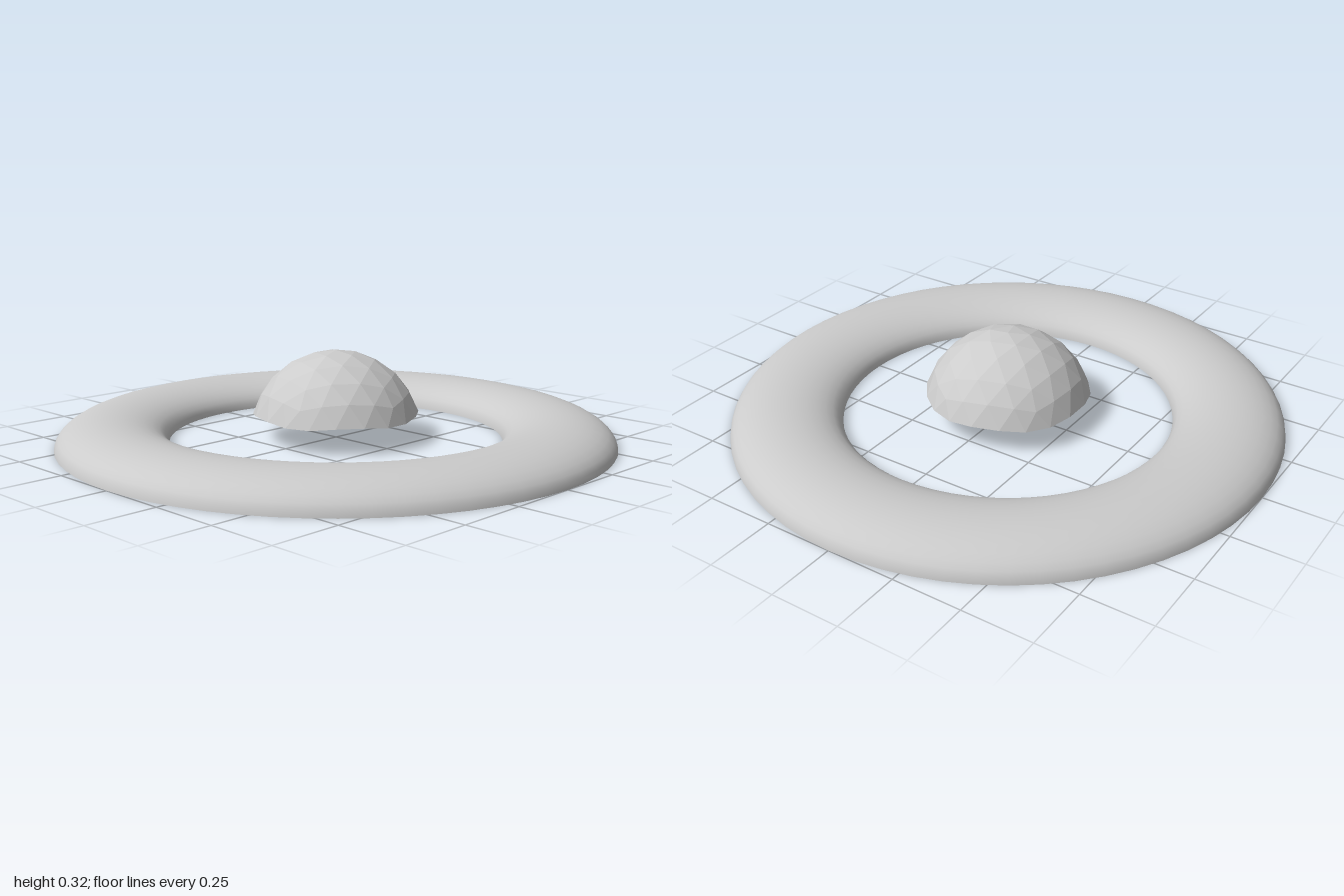
import * as THREE from 'three';

const material = (flatShading) =>
  new THREE.MeshStandardMaterial({ color: 0xcccccc, flatShading, side: THREE.DoubleSide });

// Hollow ring: upper half of an ellipse swept around the y axis, open below
function createRing() {
  const profile = [];
  const steps = 16;
  for (let i = 0; i <= steps; i++) {
    const a = (Math.PI * i) / steps;
    profile.push(new THREE.Vector2(0.8 + 0.2 * Math.cos(a), 0.1 * Math.sin(a)));
  }
  const ring = new THREE.Mesh(new THREE.LatheGeometry(profile, 64), material(false));
  ring.name = 'ring';
  return ring;
}

// Faceted dome: an icosphere with a vertex at its pole, keeping only the faces above the rim
function createDome() {
  const radius = 0.31;
  const sphere = new THREE.IcosahedronGeometry(radius, 3);
  sphere.rotateZ(Math.atan(2 / (1 + Math.sqrt(5))));
  sphere.rotateY(Math.PI / 2);

  const source = sphere.attributes.position;
  const kept = [];
  for (let i = 0; i < source.count; i += 3) {
    const corners = [0, 1, 2].map((k) => new THREE.Vector3().fromBufferAttribute(source, i + k));
    if (Math.min(...corners.map((c) => c.y)) > 0.04) {
      corners.forEach((c) => kept.push(c.x, c.y, c.z));
    }
  }
  const geometry = new THREE.BufferGeometry();
  geometry.setAttribute('position', new THREE.Float32BufferAttribute(kept, 3));
  geometry.computeVertexNormals();

  const dome = new THREE.Mesh(geometry, material(true));
  dome.name = 'dome';
  dome.position.y = 0.01;
  return dome;
}

export function createModel() {
  const model = new THREE.Group();
  model.name = 'ringedDome';
  model.add(createRing(), createDome());
  return model;
}
